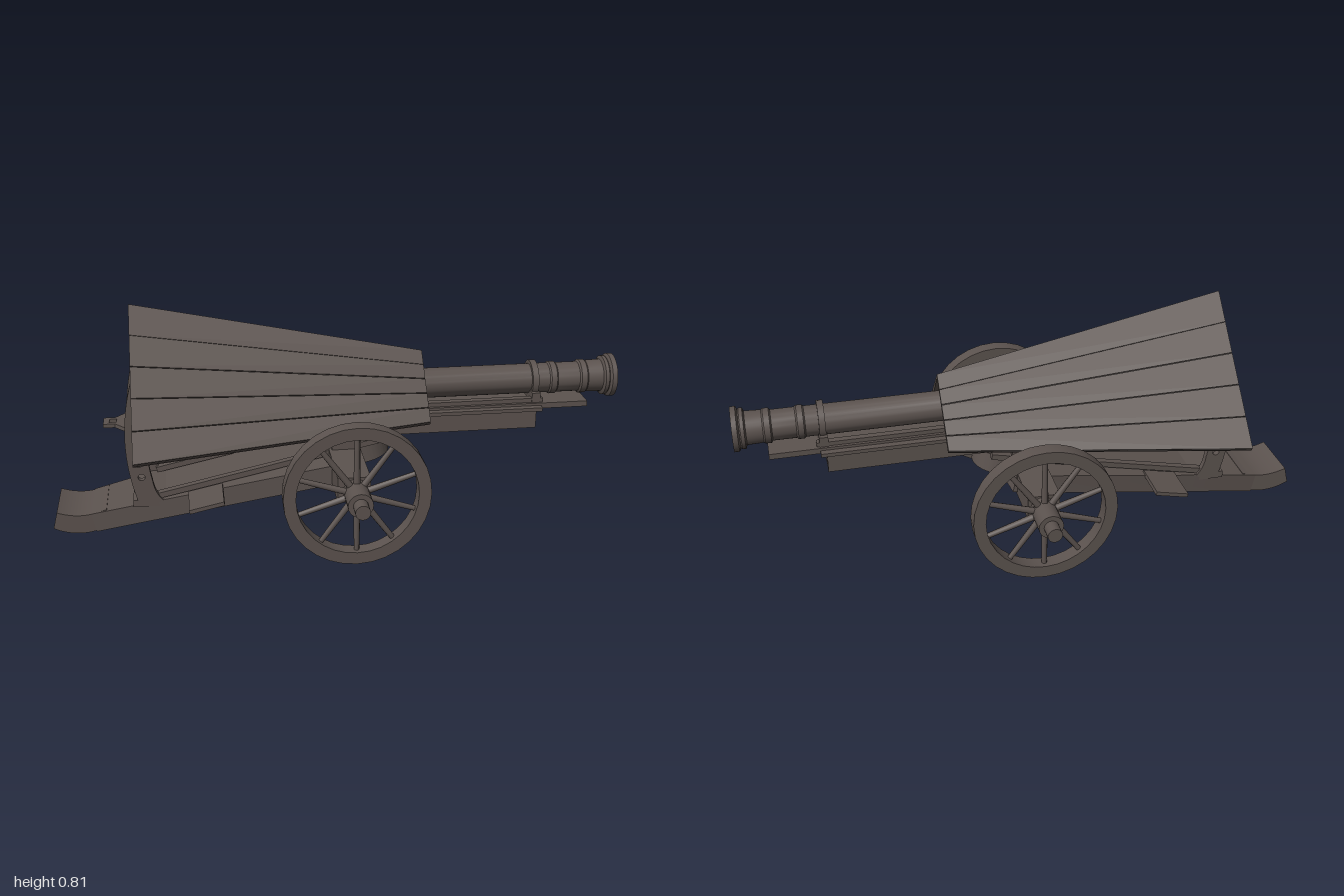
import * as THREE from 'three';
import { toCreasedNormals } from 'three/addons/utils/BufferGeometryUtils.js';
import { ConvexGeometry } from 'three/addons/geometries/ConvexGeometry.js';

const timber = new THREE.MeshStandardMaterial({ color: 0x5c534f });
timber.name = 'darkTimber';

const V = (x, y, z) => new THREE.Vector3(x, y, z);

function add(parent, name, geometry, x = 0, y = 0, z = 0) {
  const mesh = new THREE.Mesh(geometry, timber);
  mesh.name = name;
  mesh.position.set(x, y, z);
  parent.add(mesh);
  return mesh;
}

// Box given by its limits on each axis
function box(parent, name, x0, x1, y0, y1, z0, z1) {
  return add(parent, name, new THREE.BoxGeometry(x1 - x0, y1 - y0, z1 - z0),
    (x0 + x1) / 2, (y0 + y1) / 2, (z0 + z1) / 2);
}

// Side profile in x, y extruded along z and centred on z = 0
function extrude(shape, depth, curveSegments = 24) {
  const g = new THREE.ExtrudeGeometry(shape, { depth, bevelEnabled: false, curveSegments });
  g.translate(0, 0, -depth / 2);
  return toCreasedNormals(g, 0.5);
}

// Cylinder lying along z
function pin(parent, name, r, length, x, y, z, sides = 20) {
  const mesh = add(parent, name, new THREE.CylinderGeometry(r, r, length, sides), x, y, z);
  mesh.rotation.x = Math.PI / 2;
  return mesh;
}

function makeWheel() {
  const wheel = new THREE.Group();
  wheel.name = 'wheel';
  const ring = new THREE.Shape().absarc(0, 0, 0.246, 0, Math.PI * 2);
  ring.holes.push(new THREE.Path().absarc(0, 0, 0.204, 0, Math.PI * 2, true));
  add(wheel, 'rim', extrude(ring, 0.052, 16));
  for (let i = 0; i < 10; i++) {
    const a = (i / 10) * Math.PI * 2 + Math.PI / 2;
    const spoke = add(wheel, 'spoke', new THREE.CylinderGeometry(0.009, 0.012, 0.18, 8),
      Math.cos(a) * 0.122, Math.sin(a) * 0.122, 0);
    spoke.rotation.z = a - Math.PI / 2;
  }
  pin(wheel, 'hub', 0.042, 0.14, 0, 0, 0.02);
  pin(wheel, 'axleTip', 0.025, 0.06, 0, 0, 0.11);
  return wheel;
}

// Pitched roof of tapering planks over a thin lining
function makeRoof() {
  const roof = new THREE.Group();
  roof.name = 'plankRoof';
  const ends = [
    { x: -0.7, ridge: 0.81, half: 0.4, eave: 0.4 },
    { x: 0.303, ridge: 0.603, half: 0.19, eave: 0.408 },
  ];
  const slab = (name, side, t0, t1, d0, d1, gap) => {
    const points = [];
    for (const e of ends) for (const [t, g] of [[t0, gap], [t1, -gap]]) for (const d of [d0, d1]) {
      const y = e.ridge + (e.eave - e.ridge) * t - (g + d) * 0.707;
      const z = Math.max(0, e.half * t + (g - d) * 0.707);
      points.push(V(e.x, y, side * z));
    }
    add(roof, name, new ConvexGeometry(points));
  };
  for (const side of [1, -1]) {
    slab('lining', side, 0, 1, 0.009, 0.021, 0);
    for (let i = 0; i < 5; i++) slab('roofPlank', side, i / 5, (i + 1) / 5, 0, 0.0095, i ? 0.0015 : 0);
  }
  return roof;
}

function makeBarrel() {
  const barrel = new THREE.Group();
  barrel.name = 'barrel';
  // Radius against x, from breech to muzzle and back into the bore
  const profile = [
    [0, -0.64], [0.022, -0.635], [0.026, -0.61], [0.015, -0.59], [0.03, -0.57], [0.068, -0.55],
    [0.068, -0.5], [0.062, -0.49], [0.062, -0.1], [0.053, -0.08], [0.053, 0.76], [0.058, 0.765],
    [0.058, 0.785], [0.053, 0.79], [0.053, 0.87], [0.06, 0.875], [0.06, 0.895], [0.056, 0.9],
    [0.058, 0.955], [0.07, 0.96], [0.07, 0.972], [0.066, 0.976], [0.077, 0.982], [0.077, 1],
    [0.052, 1], [0.046, 0.975], [0.028, 0.95], [0.026, 0.75], [0, 0.75],
  ].map(([r, x]) => new THREE.Vector2(r, x));
  const tube = add(barrel, 'barrelTube', toCreasedNormals(new THREE.LatheGeometry(profile, 32), 0.5), 0, 0.48, 0);
  tube.rotation.z = -Math.PI / 2;
  // Clamp band with its foot
  for (const x of [-0.35, 0.2, 0.705]) {
    const band = add(barrel, 'clampBand', new THREE.CylinderGeometry(0.066, 0.066, 0.022, 28), x, 0.48, 0);
    band.rotation.z = Math.PI / 2;
    box(barrel, 'clampFoot', x - 0.015, x + 0.015, 0.41, 0.45, -0.075, 0.075);
  }
  return barrel;
}

function makeCradle() {
  const cradle = new THREE.Group();
  cradle.name = 'cradle';
  box(cradle, 'bedPlank', -0.7, 0.89, 0.395, 0.415, -0.083, 0.083);
  box(cradle, 'trayFloor', -0.65, 0.7, 0.33, 0.345, -0.1, 0.1);
  for (const s of [1, -1]) {
    const rail = box(cradle, 'sideRail', -0.66, 0.7, 0.335, 0.4, -0.007, 0.007);
    rail.position.z = s * 0.096;
    const cap = box(cradle, 'railCap', -0.66, 0.72, 0.395, 0.408, -0.012, 0.012);
    cap.position.z = s * 0.099;
    const strip = box(cradle, 'bedStrip', -0.6, 0.73, 0.415, 0.43, -0.012, 0.012);
    strip.position.z = s * 0.06;
  }
  // Pointed rear plate used as a handle
  const plate = new THREE.Shape([[-0.81, -0.03], [-0.77, -0.03], [-0.69, -0.12], [-0.62, -0.12],
    [-0.62, 0.12], [-0.69, 0.12], [-0.77, 0.03], [-0.81, 0.03]].map(p => new THREE.Vector2(...p)));
  plate.holes.push(new THREE.Path([[-0.79, -0.014], [-0.79, 0.014], [-0.765, 0.014], [-0.765, -0.014]]
    .map(p => new THREE.Vector2(...p))));
  add(cradle, 'rearPlate', extrude(plate, 0.014), 0, 0.386, 0).rotation.x = -Math.PI / 2;
  pin(cradle, 'pivotPin', 0.015, 0.29, 0.02, 0.36, 0);
  return cradle;
}

function makeTrail() {
  const trail = new THREE.Group();
  trail.name = 'trail';
  const slope = 0.213;
  // Widening plank with a rounded nose, tilted up towards the axle
  const plan = new THREE.Shape();
  plan.moveTo(-0.9, -0.102);
  plan.lineTo(-0.02, -0.205);
  plan.lineTo(0.06, -0.205);
  plan.lineTo(0.06, -0.09);
  plan.absarc(0.075, 0, 0.09, -Math.PI / 2, Math.PI / 2);
  plan.lineTo(0.06, 0.205);
  plan.lineTo(-0.02, 0.205);
  plan.lineTo(-0.9, 0.102);
  plan.closePath();
  const bed = extrude(plan, 0.07);
  bed.rotateX(-Math.PI / 2);
  add(trail, 'trailBed', bed, 0.02, 0.245, 0).rotation.z = slope;
  // Upturned tail end
  const tail = new THREE.Shape();
  tail.moveTo(-1, 0.04);
  tail.quadraticCurveTo(-0.93, 0.005, -0.86, 0.022);
  tail.lineTo(-0.8, 0.035);
  tail.lineTo(-0.815, 0.102);
  tail.lineTo(-0.86, 0.089);
  tail.quadraticCurveTo(-0.92, 0.075, -0.985, 0.1);
  tail.closePath();
  add(trail, 'tailSkid', extrude(tail, 0.2));
  for (const s of [1, -1]) {
    // Inner strengthening rails and side steps
    const rail = add(trail, 'trailRail', new THREE.BoxGeometry(0.8, 0.02, 0.025), -0.25, 0.237, s * 0.11);
    rail.rotation.z = slope;
    const step = add(trail, 'sideStep', new THREE.BoxGeometry(0.12, 0.014, 0.15), -0.47, 0.175, s * 0.205);
    step.rotation.z = slope;
    // Cheek that carries the pivot pin
    const cheek = box(trail, 'pivotCheek', -0.03, 0.07, 0.24, 0.4, -0.01, 0.01);
    cheek.position.z = s * 0.117;
  }
  return trail;
}

// Curved, drilled plate for setting the elevation
function makeElevationArc() {
  const cx = 0.02, cy = 0.36, a0 = Math.PI - 0.36, a1 = Math.PI + 0.31;
  const shape = new THREE.Shape();
  shape.absarc(cx, cy, 0.755, a0, a1);
  shape.lineTo(-0.61, 0.135);
  shape.quadraticCurveTo(-0.645, 0.165, -0.65, 0.22);
  shape.absarc(cx, cy, 0.685, Math.PI + 0.2, a0, true);
  shape.closePath();
  for (let i = 0; i < 8; i++) {
    const a = Math.PI + 0.18 - i * 0.07;
    shape.holes.push(new THREE.Path().absarc(cx + 0.718 * Math.cos(a), cy + 0.718 * Math.sin(a), 0.012, 0, Math.PI * 2, true));
  }
  return extrude(shape, 0.022, 16);
}

export function createModel() {
  const model = new THREE.Group();
  model.name = 'roofedFieldGun';
  model.add(makeRoof(), makeBarrel(), makeCradle(), makeTrail());
  box(model, 'axleBeam', -0.04, 0.07, 0.207, 0.295, -0.36, 0.36);
  for (const s of [1, -1]) {
    const wheel = makeWheel();
    wheel.position.set(0.02, 0.248, s * 0.387);
    if (s < 0) wheel.rotation.y = Math.PI;
    model.add(wheel);
    add(model, 'elevationArc', makeElevationArc(), 0, 0, s * 0.12);
  }
  // Cross bars between the elevation plates
  pin(model, 'elevationPin', 0.012, 0.27, -0.69, 0.36, 0, 12);
  box(model, 'footBar', -0.72, -0.6, 0.12, 0.145, -0.13, 0.13);
  return model;
}
